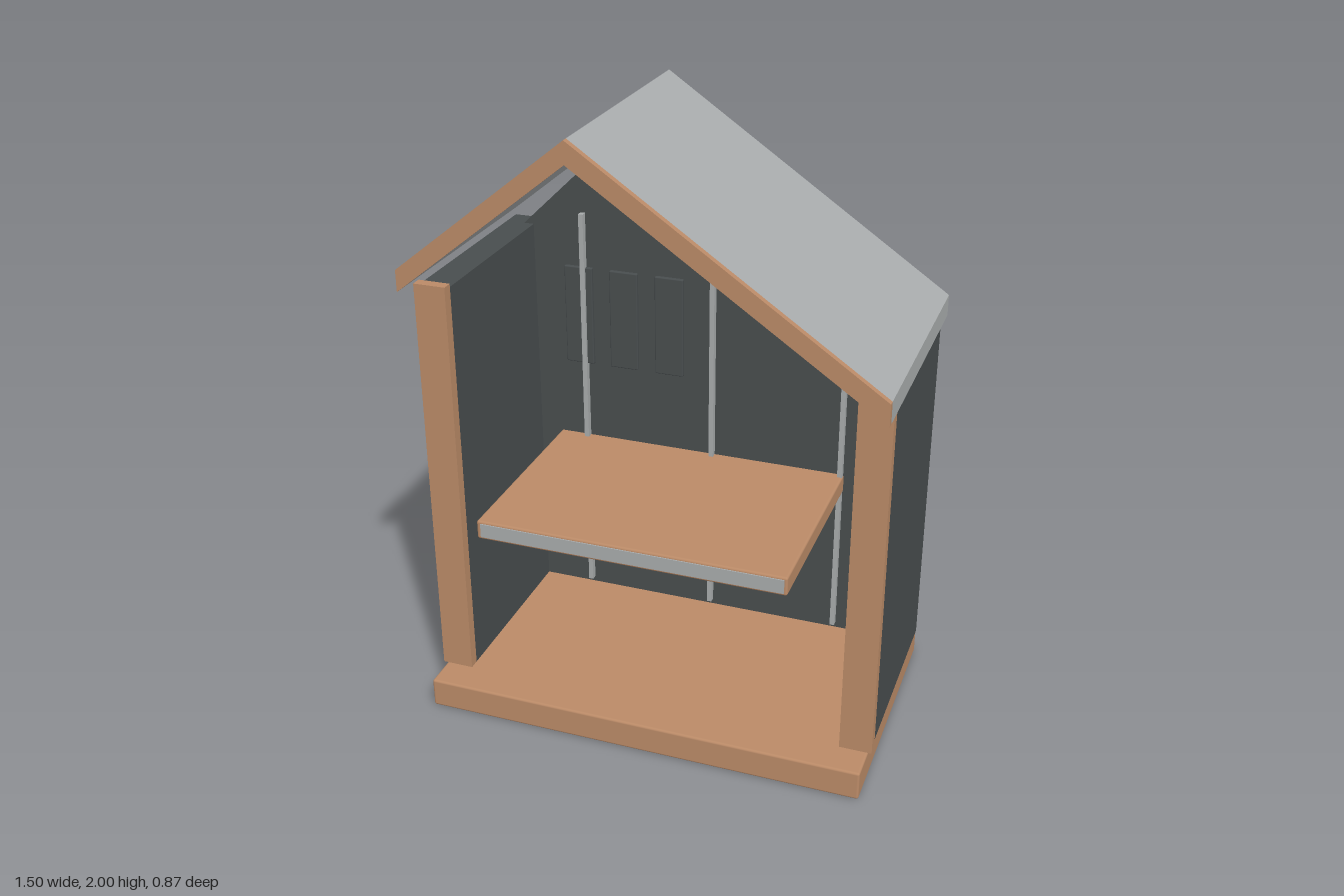
import * as THREE from 'three';
import { RoundedBoxGeometry } from 'three/addons/geometries/RoundedBoxGeometry.js';

const material = (name, color) => {
  const m = new THREE.MeshStandardMaterial({ color });
  m.name = name;
  return m;
};

export function createModel() {
  const wood = material('wood', 0xba8a67);
  const metal = material('light grey', 0xa8abac);
  const dark = material('charcoal', 0x484d4e);
  const model = new THREE.Group();

  const add = (name, geometry, mat) => {
    const mesh = new THREE.Mesh(geometry, mat);
    mesh.name = name;
    model.add(mesh);
    return mesh;
  };
  // box given by its limits on each axis, optionally with softened edges
  const box = (name, mat, [x0, x1], [y0, y1], [z0, z1], r = 0) => {
    const size = [x1 - x0, y1 - y0, z1 - z0];
    const geo = r ? new RoundedBoxGeometry(...size, 2, r) : new THREE.BoxGeometry(...size);
    add(name, geo, mat).position.set((x0 + x1) / 2, (y0 + y1) / 2, (z0 + z1) / 2);
  };
  // polygon in the x-y plane, extruded between two depths
  const slab = (name, mat, points, z0, z1) => {
    const shape = new THREE.Shape(points.map(([x, y]) => new THREE.Vector2(x, y)));
    const geo = new THREE.ExtrudeGeometry(shape, { depth: z1 - z0, bevelEnabled: false });
    add(name, geo.translate(0, 0, z0), mat);
  };

  // floor
  box('base', wood, [-0.733, 0.733], [0, 0.1], [-0.42, 0.435], 0.008);

  // side walls with their front posts; the right one is taller
  for (const [side, top] of [[-1, 1.48], [1, 1.325]]) {
    const span = (a, b) => (side > 0 ? [a, b] : [-b, -a]);
    box('sideWall', dark, span(0.64, 0.738), [0.1, top - 0.01], [-0.393, 0.29]);
    box('frontPost', wood, span(0.64, 0.745), [0.1, top], [0.29, 0.325]);
  }

  // gabled back wall
  slab('backWall', dark, [
    [-0.69, 0.1], [0.69, 0.1], [0.69, 1.29], [-0.2, 1.93], [-0.69, 1.455],
  ], -0.408, -0.322);

  // asymmetric roof and its wooden front edge
  const roof = [
    [-0.75, 1.485], [-0.195, 1.93], [0.75, 1.285],
    [0.75, 1.355], [-0.195, 2], [-0.75, 1.555],
  ];
  slab('roof', metal, roof, -0.435, 0.395);
  slab('roofFrontEdge', wood, roof, 0.395, 0.415);

  // shelf, trim strip and brackets
  box('shelf', wood, [-0.565, 0.465], [0.645, 0.71], [-0.33, 0.365], 0.008);
  box('shelfTrim', metal, [-0.55, 0.455], [0.655, 0.702], [0.36, 0.369]);
  for (const x of [-0.35, 0.312]) {
    slab('shelfBracket', metal, [[x - 0.045, 0.645], [x, 0.54], [x, 0.645]], -0.322, -0.29);
  }

  // upright rails on the back wall
  for (const [x, top] of [[-0.46, 1.53], [0, 1.53], [0.455, 1.365]]) {
    box('rail', metal, [x - 0.008, x + 0.008], [0.12, top], [-0.324, -0.3]);
  }

  // three small wall panels
  for (const x of [-0.479, -0.317, -0.155]) {
    box('wallPanel', dark, [x - 0.05, x + 0.05], [0.99, 1.34], [-0.326, -0.31], 0.004);
  }

  return model;
}
